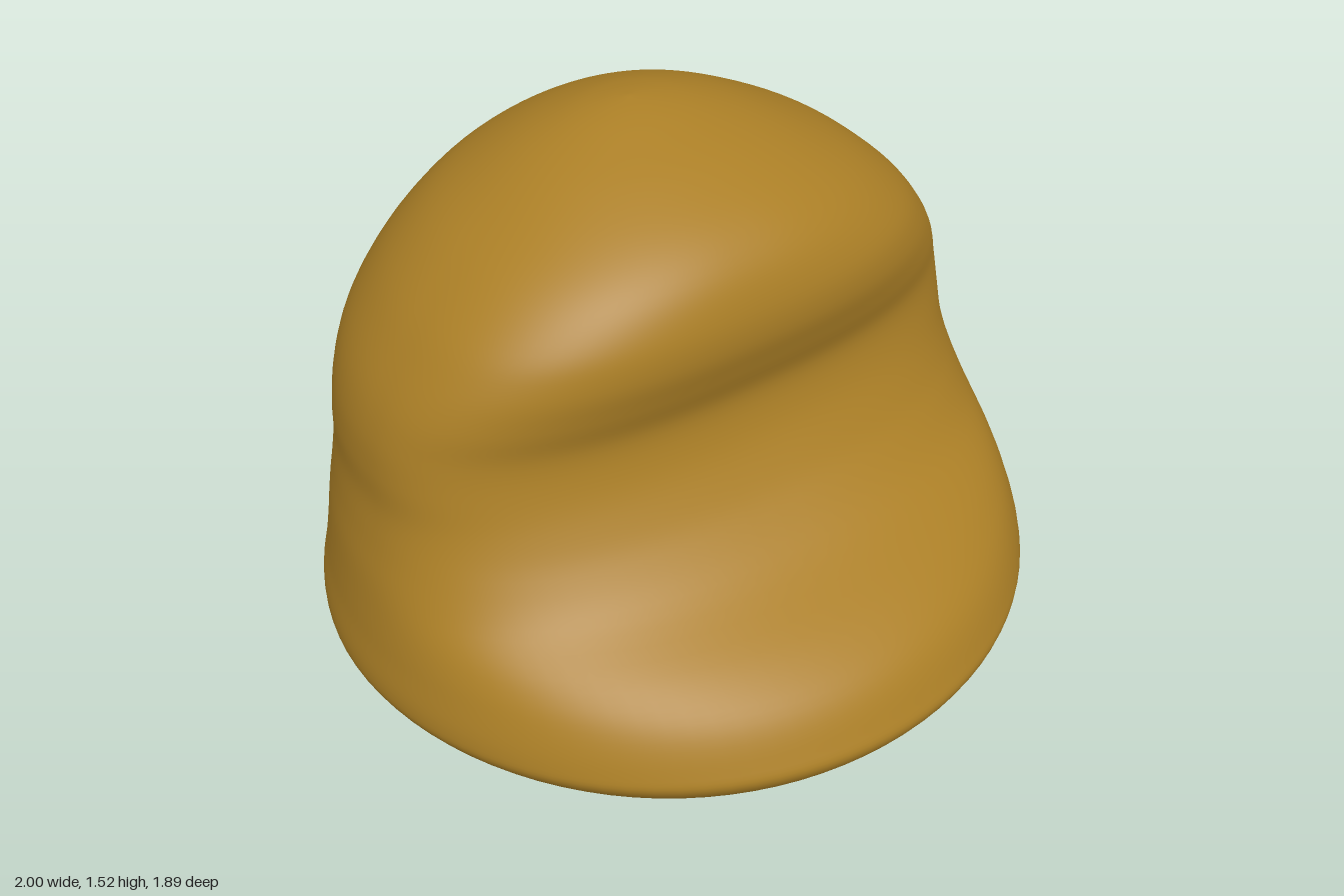
import * as THREE from 'three';
import { mergeVertices } from 'three/addons/utils/BufferGeometryUtils.js';

// Cross-sections from floor to crown: height, half width, front z, back z
const SECTIONS = [
  [0.005, 0.76, 0.75, -0.74],
  [0.02, 0.82, 0.80, -0.79],
  [0.08, 0.91, 0.885, -0.865],
  [0.16, 0.985, 0.945, -0.925],
  [0.22, 0.998, 0.93, -0.945],
  [0.32, 0.98, 0.87, -0.93],
  [0.40, 0.965, 0.76, -0.92],
  [0.50, 0.945, 0.56, -0.905],
  [0.60, 0.92, 0.445, -0.885],
  [0.70, 0.90, 0.375, -0.865],
  [0.80, 0.895, 0.33, -0.85],
  [0.90, 0.88, 0.315, -0.84],
  [1.00, 0.845, 0.345, -0.825],
  [1.10, 0.785, 0.372, -0.79],
  [1.20, 0.705, 0.367, -0.735],
  [1.30, 0.59, 0.325, -0.66],
  [1.38, 0.46, 0.24, -0.57],
  [1.45, 0.32, 0.10, -0.46],
  [1.50, 0.18, -0.05, -0.35],
  [1.522, 0.08, -0.14, -0.27],
  [1.53, 0, -0.21, -0.21],
];
const ROWS = 100, SIDES = 96;
const column = (k) => new THREE.SplineCurve(SECTIONS.map((s) => new THREE.Vector2(s[0], s[k])));
const [widthCurve, frontCurve, backCurve] = [1, 2, 3].map(column);

// One closed ring: rounded back, flatter front above the foot
function ring(t) {
  const { x: y, y: w } = widthCurve.getPoint(t);
  const front = frontCurve.getPoint(t).y, back = backCurve.getPoint(t).y;
  const upper = THREE.MathUtils.smoothstep(y, 0.3, 0.8);
  const crown = THREE.MathUtils.smoothstep(y, 1.15, 1.53);
  const mid = THREE.MathUtils.lerp(-0.02 - 0.1 * upper, (front + back) / 2, crown);
  const points = [];
  for (let j = 0; j < SIDES; j++) {
    const a = (j / SIDES) * Math.PI * 2, c = Math.cos(a), s = Math.sin(a);
    const n = s > 0 ? 2 + 0.5 * upper * (1 - crown) : 2;
    const px = Math.sign(c) * Math.abs(c) ** (2 / n) * w;
    const depth = Math.abs(s) ** (2 / n);
    points.push([px, y, mid + depth * (s > 0 ? front - mid : back - mid)]);
  }
  return points;
}

function loftGeometry() {
  const positions = [], index = [];
  for (let i = 0; i <= ROWS; i++) ring(i / ROWS).forEach((p) => positions.push(...p));
  for (let i = 0; i < ROWS; i++) {
    for (let j = 0; j < SIDES; j++) {
      const a = i * SIDES + j, b = i * SIDES + ((j + 1) % SIDES);
      index.push(a, a + SIDES, b, b, a + SIDES, b + SIDES);
    }
  }
  const g = new THREE.BufferGeometry();
  g.setAttribute('position', new THREE.Float32BufferAttribute(positions, 3));
  g.setIndex(index);
  const merged = mergeVertices(g, 1e-5);
  merged.computeVertexNormals();
  return merged;
}

export function createModel() {
  const group = new THREE.Group();
  group.name = 'softSeat';
  const ochre = new THREE.MeshStandardMaterial({ color: 0xab7f26 });
  ochre.name = 'ochre';

  // Padded body with projecting foot and overhanging brow
  const body = new THREE.Mesh(loftGeometry(), ochre);
  body.name = 'body';
  group.add(body);

  // Flat underside
  const outline = new THREE.Shape(ring(0).map((p) => new THREE.Vector2(p[0], p[2])));
  const base = new THREE.Mesh(new THREE.ShapeGeometry(outline).rotateX(Math.PI / 2), ochre);
  base.name = 'underside';
  base.position.y = SECTIONS[0][0];
  group.add(base);
  return group;
}
